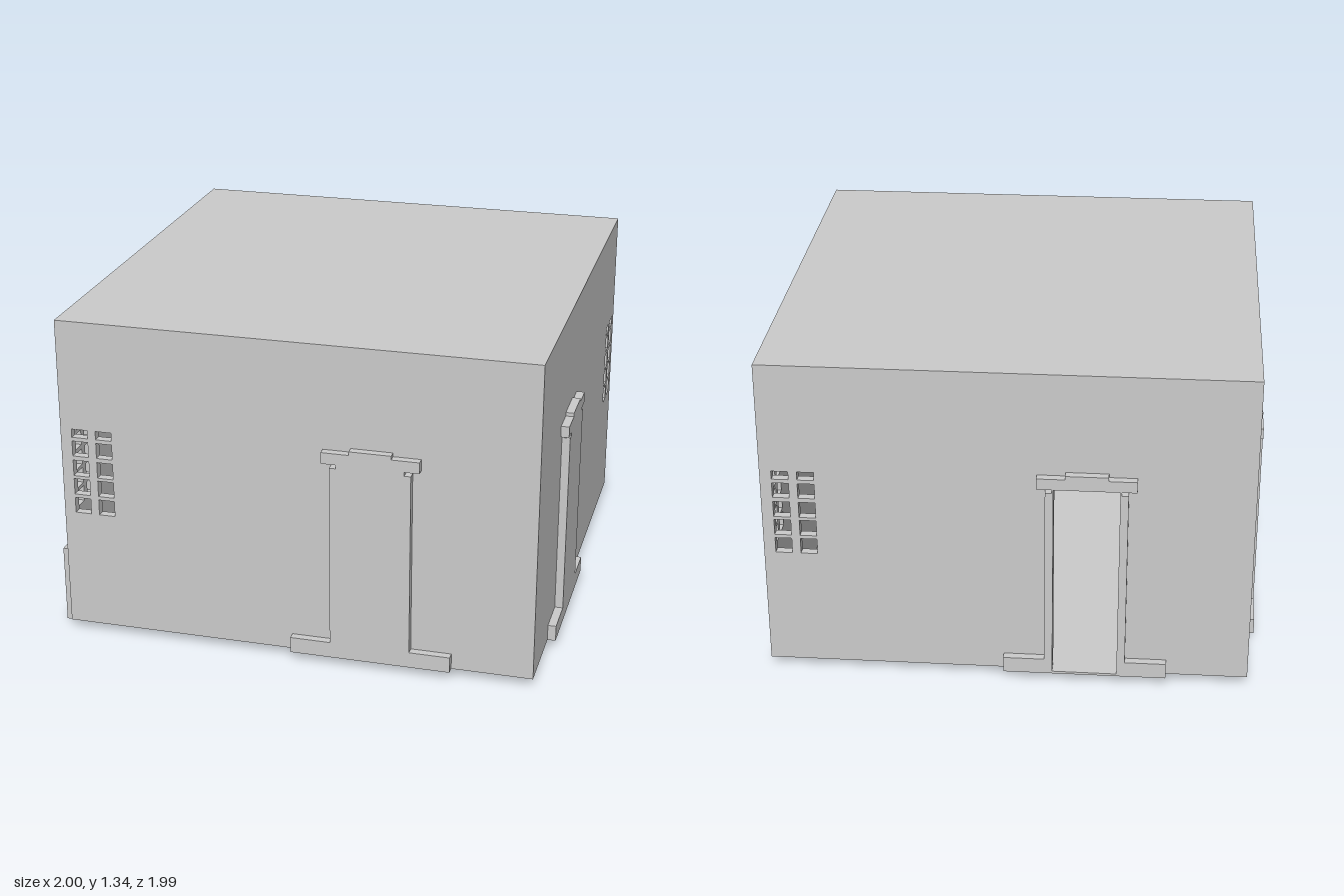
import * as THREE from 'three';

const material = new THREE.MeshStandardMaterial({ color: 0xcccccc, flatShading: true });

// Overall sizes of the room shell
const HW = 0.957, HD = 0.961, BOTTOM = 0.035, TOP = 1.335, WALL = 0.035;
const DOOR = 0.31, RAISE = 0.033;

function add(parent, name, geometry, x = 0, y = 0, z = 0) {
  const mesh = new THREE.Mesh(geometry, material);
  mesh.name = name;
  mesh.position.set(x, y, z);
  parent.add(mesh);
  return mesh;
}

// Box given by its lower and upper corners
function block(parent, name, x0, x1, y0, y1, z0, z1) {
  return add(parent, name, new THREE.BoxGeometry(x1 - x0, y1 - y0, z1 - z0),
    (x0 + x1) / 2, (y0 + y1) / 2, (z0 + z1) / 2);
}

function rect(x0, x1, y0, y1, Type = THREE.Path) {
  return new Type([[x0, y0], [x1, y0], [x1, y1], [x0, y1]].map(p => new THREE.Vector2(...p)));
}

const extrude = (shape, depth) => new THREE.ExtrudeGeometry(shape, { depth, bevelEnabled: false });

// Raised door surround: wide foot, narrow panel, notched neck, lintel and cap
function doorShape(side, open) {
  const half = [[0.323, 0.035], [0.323, 0.1], [0.16, 0.1], [0.16, 0.851], [0.134, 0.851],
    [0.134, 0.866], [0.193, 0.866], [0.193, 0.912], [0.083, 0.912], [0.083, 0.927]];
  const points = [...half, ...half.map(([x, y]) => [-x, y]).reverse()];
  const shape = new THREE.Shape(points.map(([x, y]) => new THREE.Vector2(x + side * DOOR, y)));
  if (open) shape.holes.push(rect(side * DOOR - 0.128, side * DOOR + 0.128, 0.045, 0.866));
  return shape;
}

// One wall with ventilation openings and its door; side = -1 mirrors the layout
function makeWall(name, halfWidth, distance, angle, side, open) {
  const wall = new THREE.Group();
  wall.name = name;
  wall.rotation.y = angle;
  const shape = rect(-halfWidth, halfWidth, BOTTOM, TOP - 0.03, THREE.Shape);
  const rows = [[0.525, 0.59], [0.605, 0.672], [0.685, 0.752], [0.77, 0.834], [0.85, 0.885]];
  for (const u of [-0.878, -0.778]) {
    for (const [y0, y1] of rows) shape.holes.push(rect(side * u - 0.033, side * u + 0.033, y0, y1));
  }
  if (open) shape.holes.push(rect(side * DOOR - 0.128, side * DOOR + 0.128, 0.045, 0.866));
  add(wall, 'wallPanel', extrude(shape, WALL), 0, 0, distance - WALL);
  add(wall, open ? 'openDoorFrame' : 'door', extrude(doorShape(side, open), RAISE), 0, 0, distance);
  return wall;
}

export function createModel() {
  const model = new THREE.Group();
  const room = new THREE.Group();
  room.name = 'room';
  room.position.set(0.005, 0, -0.004);
  model.add(room);

  // Shell
  room.add(makeWall('frontWall', HW, HD, 0, 1, false));
  room.add(makeWall('backWall', HW, HD, Math.PI, 1, true));
  room.add(makeWall('leftWall', HD - WALL, HW, Math.PI / 2, -1, false));
  room.add(makeWall('rightWall', HD - WALL, HW, -Math.PI / 2, -1, false));
  block(room, 'roof', -HW, HW, TOP - 0.03, TOP, -HD, HD);
  block(room, 'floor', -HW + WALL, HW - WALL, BOTTOM, BOTTOM + 0.01, -HD + WALL, HD - WALL);

  // Thin square plates stepping diagonally under the floor
  const plates = [[0.315, 0.635, -0.34, -0.02], [0.02, 0.315, -0.64, -0.34],
    [-0.34, -0.01, 0.31, 0.63], [-0.625, -0.34, 0.02, 0.31]];
  for (const [x0, x1, z0, z1] of plates) block(model, 'underfloorPlate', x0, x1, 0.02, BOTTOM, z0, z1);

  // Angled bracket wrapping the lower edge of the right wall
  const bracket = new THREE.Group();
  bracket.name = 'cornerBracket';
  block(bracket, 'bracketSide', -1, -0.952, 0, 0.322, 0.255, 0.892);
  block(bracket, 'bracketFoot', -0.952, -0.7, 0, BOTTOM, 0.255, 0.892);
  model.add(bracket);

  // Interior ceiling beams and wall fittings
  for (let i = 0; i < 5; i++) {
    const z = -0.7 + i * 0.35;
    block(room, 'ceilingBeam', -0.92, 0.92, 1.265, 1.305, z - 0.025, z + 0.025);
  }
  for (let i = 0; i < 3; i++) {
    const rail = add(room, 'wallPipe', new THREE.CylinderGeometry(0.014, 0.014, 1.6, 8), -0.89, 1.0 + i * 0.07, 0);
    rail.rotation.x = Math.PI / 2;
  }
  for (let i = 0; i < 4; i++) {
    const z = -0.6 + i * 0.3;
    block(room, 'wallCabinet', -0.92, -0.84, 0.5, 0.72 + (i % 2) * 0.12, z, z + 0.2);
    block(room, 'cabinetShelf', -0.92, -0.81, 0.47, 0.49, z - 0.02, z + 0.22);
  }

  // Small fittings beside the open doorway
  for (const y of [0.1, 0.32, 0.5]) block(room, 'doorSideFitting', -0.14, -0.06, y, y + 0.025, -0.9, -0.82);

  return model;
}
